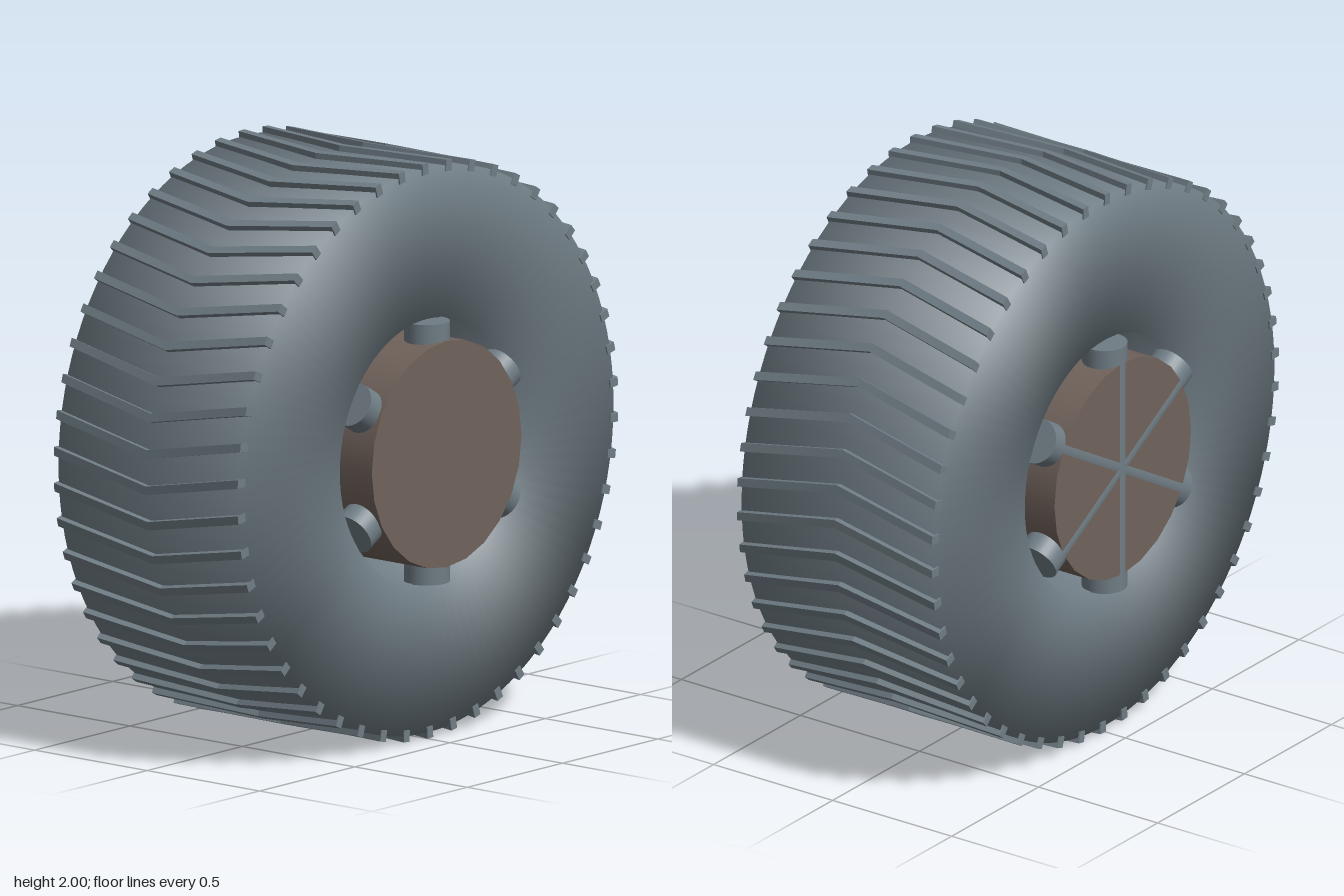
import * as THREE from 'three';

const rubber = new THREE.MeshStandardMaterial({ color: 0x6f7c84 });
rubber.name = 'slate rubber';
const brown = new THREE.MeshStandardMaterial({ color: 0x70625b });
brown.name = 'brown hub';

const TREADS = 50;

// Wide ring with softly shaded shoulders
function makeTire() {
  const inner = 0.457, outer = 0.98, half = 0.404;
  const profile = [
    [inner, 0], [inner, -half], [outer, -half],
    [outer, half], [inner, half], [inner, 0],
  ].map(([r, y]) => new THREE.Vector2(r, y));
  const geometry = new THREE.LatheGeometry(profile, 96);
  geometry.rotateZ(-Math.PI / 2);
  const tire = new THREE.Mesh(geometry, rubber);
  tire.name = 'tire';
  tire.position.x = -0.007;
  return tire;
}

// Chevron rib: a bar bent at its middle, shifted around the wheel
function makeRibGeometry() {
  const width = 0.818, skew = 0.08;
  const bar = new THREE.BoxGeometry(width, 0.04, 0.03, 2, 1, 1);
  const p = bar.attributes.position;
  for (let i = 0; i < p.count; i++) {
    const t = Math.abs(p.getX(i)) / (width / 2);
    p.setZ(i, p.getZ(i) + skew * (0.5 - t));
  }
  bar.translate(-0.007, 0.979, 0);
  const flat = bar.toNonIndexed();
  flat.computeVertexNormals();
  return flat;
}

function makeTread() {
  const tread = new THREE.Group();
  tread.name = 'tread';
  const geometry = makeRibGeometry();
  for (let i = 0; i < TREADS; i++) {
    const rib = new THREE.Mesh(geometry, rubber);
    rib.name = 'treadRib';
    rib.rotation.x = 0.053 + (i / TREADS) * Math.PI * 2;
    tread.add(rib);
  }
  return tread;
}

// Solid drum through the middle
function makeHub() {
  const geometry = new THREE.CylinderGeometry(0.393, 0.393, 0.974, 24);
  geometry.rotateZ(-Math.PI / 2);
  const hub = new THREE.Mesh(geometry, brown);
  hub.name = 'hub';
  hub.position.x = -0.002;
  return hub;
}

// Three round bars across the hub near each end, showing as six stubs
function makeSpokes() {
  const spokes = new THREE.Group();
  spokes.name = 'spokes';
  const geometry = new THREE.CylinderGeometry(0.078, 0.078, 0.905, 32);
  for (const x of [-0.4125, 0.397]) {
    for (let i = 0; i < 3; i++) {
      const spoke = new THREE.Mesh(geometry, rubber);
      spoke.name = 'spoke';
      spoke.position.x = x;
      spoke.rotation.x = (i * Math.PI) / 3;
      spokes.add(spoke);
    }
  }
  return spokes;
}

export function createModel() {
  const wheel = new THREE.Group();
  wheel.name = 'wheel';
  wheel.add(makeTire(), makeTread(), makeHub(), makeSpokes());
  wheel.position.y = 1;
  const model = new THREE.Group();
  model.name = 'tractorWheel';
  model.add(wheel);
  return model;
}
